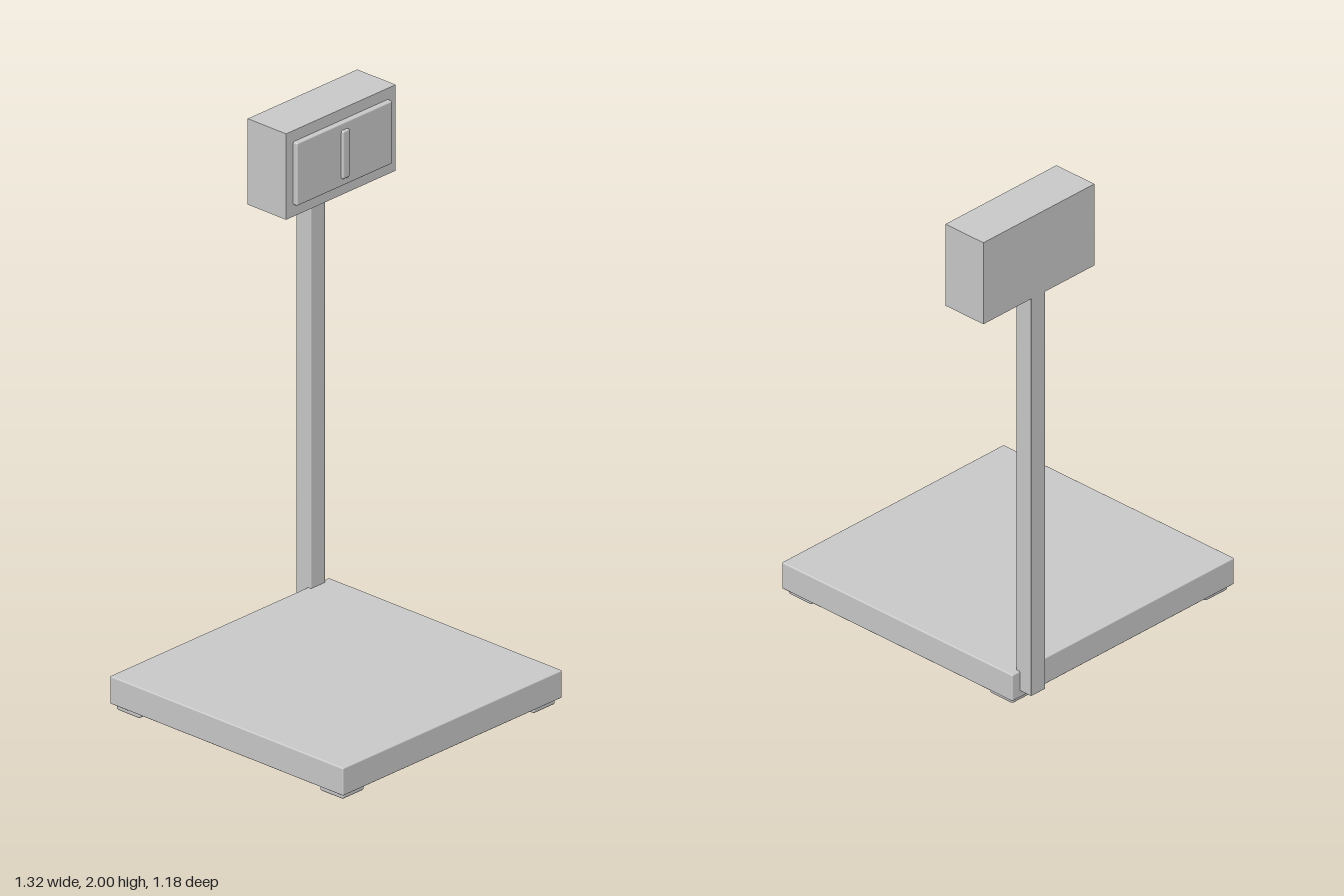
import * as THREE from 'three';
import { RoundedBoxGeometry } from 'three/addons/geometries/RoundedBoxGeometry.js';

const grey = new THREE.MeshStandardMaterial({ color: 0xcccccc });
grey.name = 'light grey';

// Box given by its min and max corners, with softened edges when radius > 0
function block(name, [x0, y0, z0], [x1, y1, z1], radius = 0) {
  const size = [x1 - x0, y1 - y0, z1 - z0];
  const geometry = radius
    ? new RoundedBoxGeometry(...size, 2, radius)
    : new THREE.BoxGeometry(...size);
  const mesh = new THREE.Mesh(geometry, grey);
  mesh.name = name;
  mesh.position.set((x0 + x1) / 2, (y0 + y1) / 2, (z0 + z1) / 2);
  return mesh;
}

export function createModel() {
  const model = new THREE.Group();
  model.name = 'platformScale';

  // Weighing platform
  model.add(block('platform', [-0.663, 0.024, -0.531], [0.455, 0.131, 0.587], 0.005));

  // Four square feet set in from the platform corners
  const feet = new THREE.Group();
  feet.name = 'feet';
  for (const x of [-0.592, 0.382]) {
    for (const z of [-0.459, 0.516]) {
      feet.add(block('foot', [x - 0.056, 0, z - 0.056], [x + 0.056, 0.036, z + 0.056], 0.009));
    }
  }
  model.add(feet);

  // Upright post behind the platform
  model.add(block('post', [0.345, 0.052, -0.586], [0.417, 1.68, -0.514], 0.003));

  // Display head with raised front panel and central ridge
  const head = new THREE.Group();
  head.name = 'displayHead';
  head.add(
    block('housing', [0.102, 1.669, -0.589], [0.661, 2, -0.405]),
    block('frontPanel', [0.138, 1.714, -0.425], [0.625, 1.957, -0.386], 0.006),
    block('ridge', [0.363, 1.742, -0.41], [0.4, 1.929, -0.377], 0.008),
  );
  model.add(head);

  return model;
}
